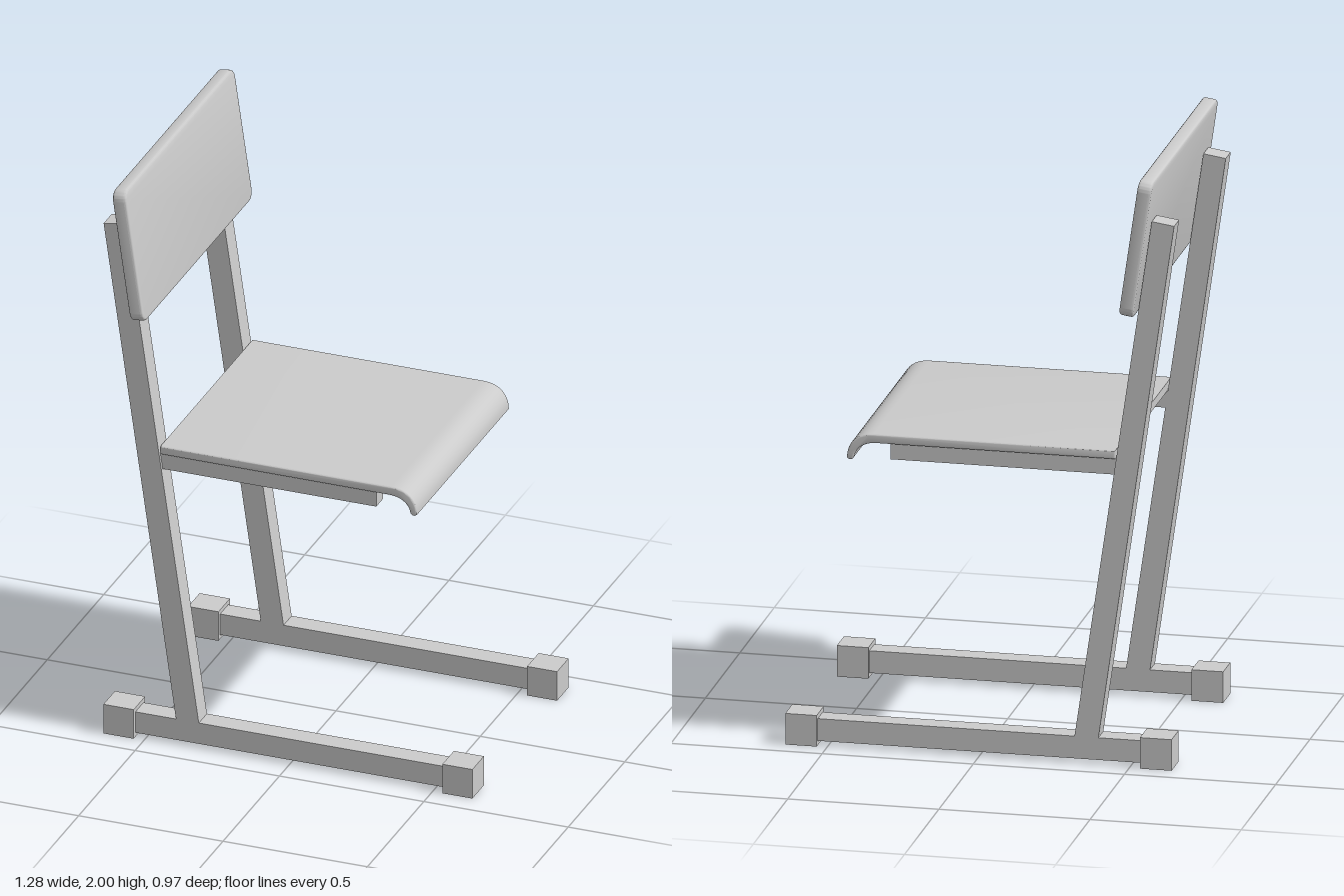
import * as THREE from 'three';
import { toCreasedNormals } from 'three/addons/utils/BufferGeometryUtils.js';

const material = new THREE.MeshStandardMaterial({ color: 0xcccccc });

function addMesh(parent, name, geometry, x = 0, y = 0, z = 0) {
  const mesh = new THREE.Mesh(geometry, material);
  mesh.name = name;
  mesh.position.set(x, y, z);
  parent.add(mesh);
  return mesh;
}

// Box given by its x and y limits, centred on z
function addBar(parent, name, x0, x1, y0, y1, depth, z = 0) {
  const geometry = new THREE.BoxGeometry(x1 - x0, y1 - y0, depth);
  return addMesh(parent, name, geometry, (x0 + x1) / 2, (y0 + y1) / 2, z);
}

// Extrusion centred on z, with an optional rounded edge kept inside the outline
function slab(shape, depth, bevel = 0) {
  const geometry = new THREE.ExtrudeGeometry(shape, {
    depth: depth - 2 * bevel,
    curveSegments: 10,
    bevelEnabled: bevel > 0,
    bevelThickness: bevel,
    bevelSize: bevel,
    bevelOffset: -bevel,
    bevelSegments: 3,
  });
  geometry.translate(0, 0, -depth / 2 + bevel);
  return toCreasedNormals(geometry, 0.7);
}

function roundedRect(w, h, r) {
  const s = new THREE.Shape();
  s.absarc(w / 2 - r, h / 2 - r, r, 0, Math.PI / 2);
  s.absarc(-w / 2 + r, h / 2 - r, r, Math.PI / 2, Math.PI);
  s.absarc(-w / 2 + r, -h / 2 + r, r, Math.PI, Math.PI * 1.5);
  s.absarc(w / 2 - r, -h / 2 + r, r, Math.PI * 1.5, Math.PI * 2);
  s.closePath();
  return s;
}

export function createModel() {
  const chair = new THREE.Group();
  chair.name = 'chair';

  // Two side frames: floor rail, end caps, leaning post, seat support
  const postShape = new THREE.Shape([
    [-0.39, 0.06], [-0.311, 0.06], [-0.571, 1.847], [-0.645, 1.836],
  ].map(([x, y]) => new THREE.Vector2(x, y)));

  for (const side of [1, -1]) {
    const frame = new THREE.Group();
    frame.name = side > 0 ? 'leftFrame' : 'rightFrame';
    frame.position.z = side * 0.375 - 0.003;
    addBar(frame, 'floorRail', -0.6, 0.6, 0.015, 0.09, 0.072);
    addBar(frame, 'backCap', -0.64, -0.535, 0, 0.105, 0.102);
    addBar(frame, 'frontCap', 0.534, 0.638, 0, 0.105, 0.102);
    addMesh(frame, 'post', slab(postShape, 0.072));
    addBar(frame, 'seatSupport', -0.455, 0.295, 0.98, 1.036, 0.06, -side * 0.005);
    chair.add(frame);
  }

  // Seat board with its front edge curling down
  const seat = new THREE.Shape();
  seat.moveTo(-0.45, 1.035);
  seat.lineTo(0.34, 1.034);
  seat.bezierCurveTo(0.38, 1.034, 0.41, 1.015, 0.415, 0.982);
  seat.quadraticCurveTo(0.425, 0.966, 0.438, 0.979);
  seat.bezierCurveTo(0.438, 1.025, 0.41, 1.064, 0.35, 1.064);
  seat.lineTo(-0.45, 1.064);
  seat.closePath();
  addMesh(chair, 'seat', slab(seat, 0.82, 0.005), 0, 0, -0.005);

  // Backrest board, leaning with the posts
  const backGeometry = slab(roundedRect(0.972, 0.466, 0.035), 0.047, 0.008);
  backGeometry.rotateY(Math.PI / 2);
  const backrest = addMesh(chair, 'backrest', backGeometry, -0.532, 1.767, 0);
  backrest.rotation.z = 0.144;

  return chair;
}
